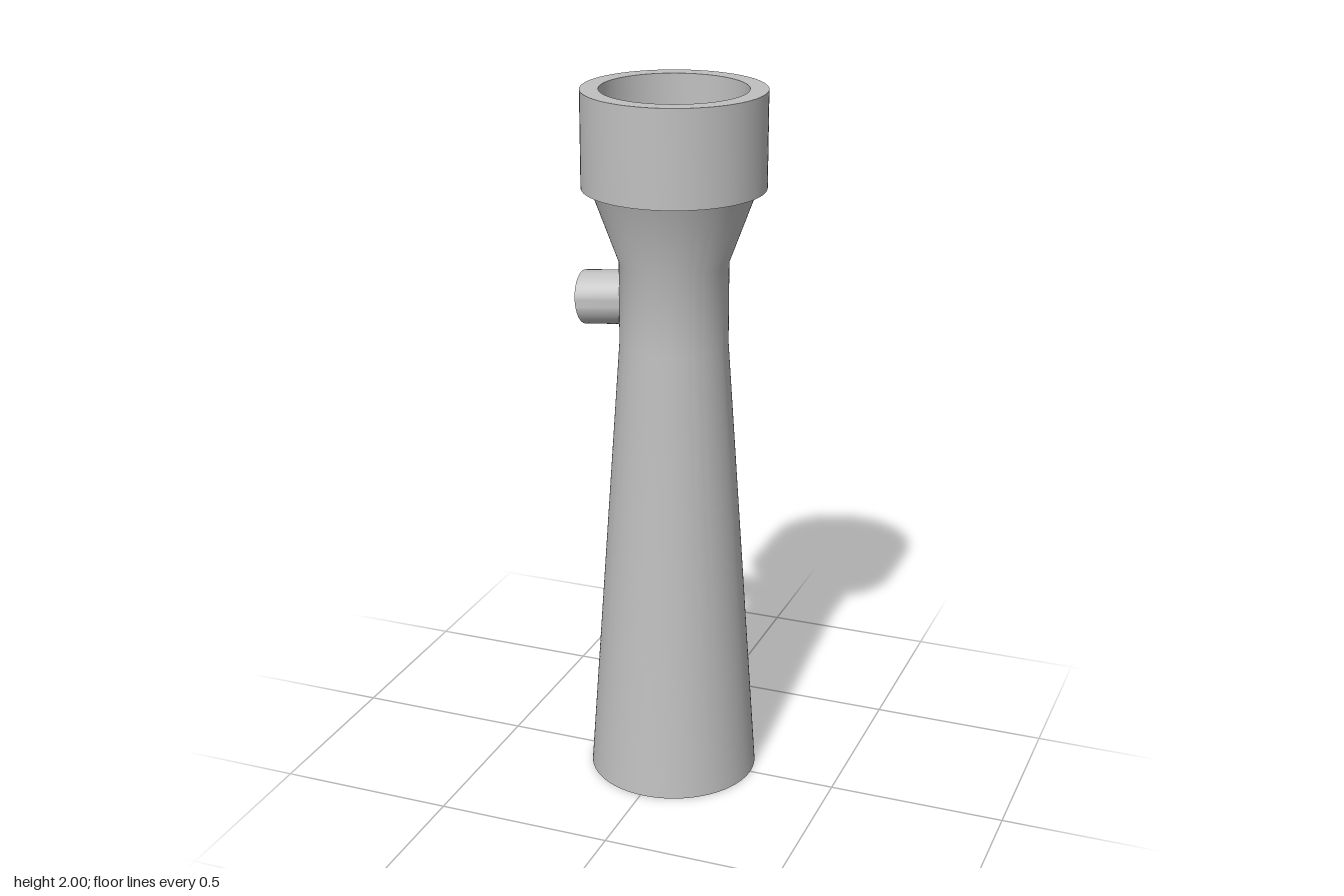
import * as THREE from 'three';
import { toCreasedNormals } from 'three/addons/utils/BufferGeometryUtils.js';

const AXIS_X = 0.01;

// Closed profile of [radius, height] points, outer side rising, inner side falling
function turned(profile, segments) {
  const points = profile.map(([r, y]) => new THREE.Vector2(r, y));
  points.push(points[0].clone());
  return toCreasedNormals(new THREE.LatheGeometry(points, segments), 0.4);
}

export function createModel() {
  const model = new THREE.Group();
  model.name = 'venturiTube';
  const grey = new THREE.MeshStandardMaterial({ color: 0xc0c0c0 });
  grey.name = 'light grey';

  const add = (name, geometry) => {
    const mesh = new THREE.Mesh(geometry, grey);
    mesh.name = name;
    mesh.position.x = AXIS_X;
    model.add(mesh);
    return mesh;
  };

  // Hollow body: flared outlet, straight throat, funnel and collar socket
  add('body', turned([
    [0.195, 0], [0.24, 0], [0.15, 1.3], [0.15, 1.53], [0.225, 1.735],
    [0.25, 1.735], [0.25, 2], [0.2, 2], [0.2, 1.735], [0.105, 1.53], [0.105, 1.3],
  ], 96));

  // Side inlet with a stepped bore, tilted slightly down
  const inlet = add('sideInlet', turned([
    [0.034, 0], [0.075, 0], [0.075, 0.143], [0.05, 0.143], [0.05, 0.07], [0.034, 0.07],
  ], 48));
  inlet.position.set(-0.11, 1.414, 0);
  inlet.rotation.z = Math.PI / 2 + 0.1;

  // Crossed straightening fins in the outlet
  const finHeight = 0.2;
  for (let i = 0; i < 2; i++) {
    const fin = add('outletFin', new THREE.BoxGeometry(0.4, finHeight, 0.018));
    fin.position.y = finHeight / 2;
    fin.rotation.y = i * Math.PI / 2;
  }

  return model;
}
